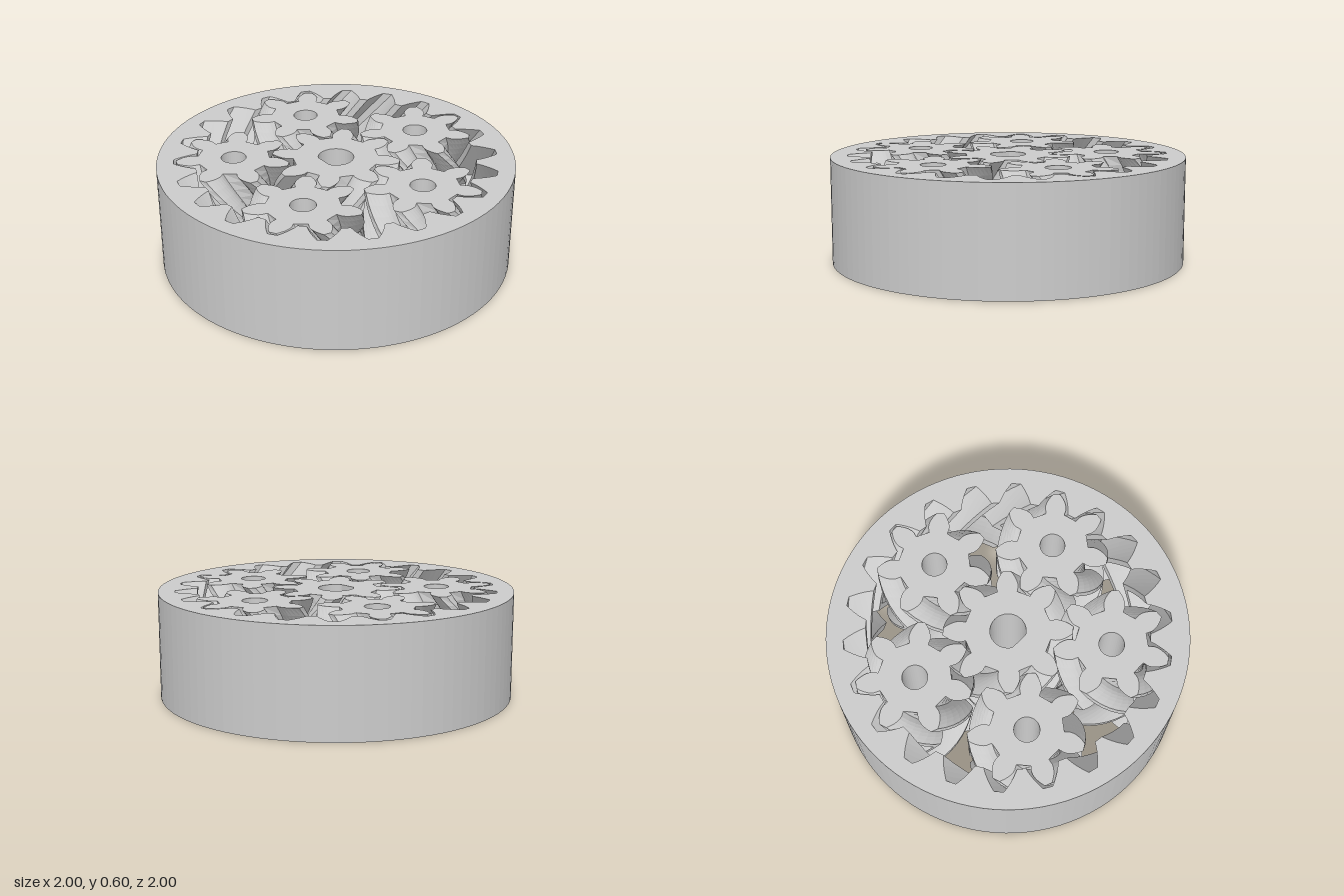
import * as THREE from 'three';

const HEIGHT = 0.6;
const TEETH = { sun: 8, planet: 7, ring: 22 };
const RING_PITCH_R = 0.84;
const MODULE_R = RING_PITCH_R / TEETH.ring;   // pitch radius per tooth
const PITCH = 2 * Math.PI * MODULE_R;         // tooth spacing along the pitch circle
const PRESSURE = Math.PI / 6;
const TOL = 0.01;                             // running clearance

const material = new THREE.MeshStandardMaterial({ color: 0xcccccc, flatShading: true });
const polar = (r, a) => new THREE.Vector2(r * Math.cos(a), r * Math.sin(a));

function circle(r, n, minX = -Infinity) {
  return Array.from({ length: n }, (_, i) => {
    const p = polar(r, (i / n) * 2 * Math.PI);
    p.x = Math.max(p.x, minX);                // optional flat on the -x side
    return p;
  });
}

// Involute gear outline, first tooth on +x; negative tol enlarges it for the ring's cavity
function gearOutline(teeth, tol, mirror = 1) {
  const rp = teeth * MODULE_R, base = rp * Math.cos(PRESSURE);
  const unit = Math.PI / teeth;               // half a tooth spacing
  const tipMax = rp + PITCH / 4 - tol / 2, rootMax = rp - PITCH / 4 - tol / 2;
  const inv = (r) => {
    const a = Math.acos(Math.min(1, base / r));
    return Math.tan(a) - a;
  };
  const half = (r) => unit / 2 - tol / (2 * base) + inv(rp) - inv(r);
  // tips are cut by a polygon of 3 sides per tooth, gaps are straight chords
  const tipR = (a) => {
    const mid = a < -unit / 6 ? -unit / 2 : unit / 6;
    return (tipMax * Math.cos(unit / 3)) / Math.cos(a - mid);
  };
  const rootR = (a) => (rootMax * Math.cos(unit / 2)) / Math.cos(Math.abs(a) - unit);
  const solve = (limit, side, r) => {
    for (let i = 0; i < 12; i++) r = limit(side * half(r));
    return r;
  };
  const flank = (side) => {
    const r0 = solve(rootR, side, rootMax), r1 = solve(tipR, side, tipMax);
    const start = Math.max(r0, base);
    const radii = r0 < base ? [r0] : [];
    for (let i = 0; i <= 5; i++) radii.push(start + ((r1 - start) * i) / 5);
    return radii.map((r) => [r, side * half(r)]);
  };
  const tooth = flank(-1);
  if (tooth[tooth.length - 1][1] < -unit / 6 - 0.002) tooth.push([tipMax, -unit / 6]);
  tooth.push(...flank(1).reverse());

  const points = [];
  for (let k = 0; k < teeth; k++)
    for (const [r, a] of tooth) points.push(polar(r, mirror * (a + 2 * unit * k)));
  return points;
}

// Extrude, then twist the toothed walls one tooth spacing from mid-height to each end.
// The end faces line up again after a whole tooth, so they stay as they are.
function herringbone(name, outline, hole, steps, teeth, hand, isToothed) {
  const shape = new THREE.Shape(outline);
  shape.holes.push(new THREE.Path(hole));
  const geo = new THREE.ExtrudeGeometry(shape, { depth: HEIGHT, steps: 2 * steps, bevelEnabled: false });
  const pos = geo.attributes.position;
  const walls = geo.groups[1];
  for (let i = walls.start; i < walls.start + walls.count; i++) {
    const x = pos.getX(i), y = pos.getY(i);
    if (!isToothed(Math.hypot(x, y))) continue;
    const t = Math.abs(pos.getZ(i) / HEIGHT - 0.5) * 2;
    const a = (-hand * t * 2 * Math.PI) / teeth;
    pos.setX(i, x * Math.cos(a) - y * Math.sin(a));
    pos.setY(i, x * Math.sin(a) + y * Math.cos(a));
  }
  geo.clearGroups();
  geo.rotateX(-Math.PI / 2);
  geo.computeVertexNormals();
  const mesh = new THREE.Mesh(geo, material);
  mesh.name = name;
  return mesh;
}

export function createModel() {
  const group = new THREE.Group();
  group.name = 'planetaryGearBearing';

  // Outer ring with internal teeth
  group.add(herringbone('ringGear', circle(1, 100), gearOutline(TEETH.ring, -TOL),
    4, TEETH.ring, 1, (r) => r < 0.95));

  // Central gear with a D-shaped shaft hole
  group.add(herringbone('sunGear', gearOutline(TEETH.sun, TOL, -1), circle(0.1, 48, -0.085),
    6, TEETH.sun, -1, (r) => r > 0.15));

  // Five planet gears with round holes
  const orbit = MODULE_R * (TEETH.sun + TEETH.planet);
  const planet = herringbone('planetGear', gearOutline(TEETH.planet, TOL), circle(0.07, 40),
    6, TEETH.planet, 1, (r) => r > 0.12);
  for (let i = 0; i < 5; i++) {
    const gear = planet.clone();
    const p = polar(orbit, (i * 2 * Math.PI) / 5);
    gear.name = `planetGear${i + 1}`;
    gear.position.set(p.x, 0, -p.y);
    group.add(gear);
  }
  return group;
}
